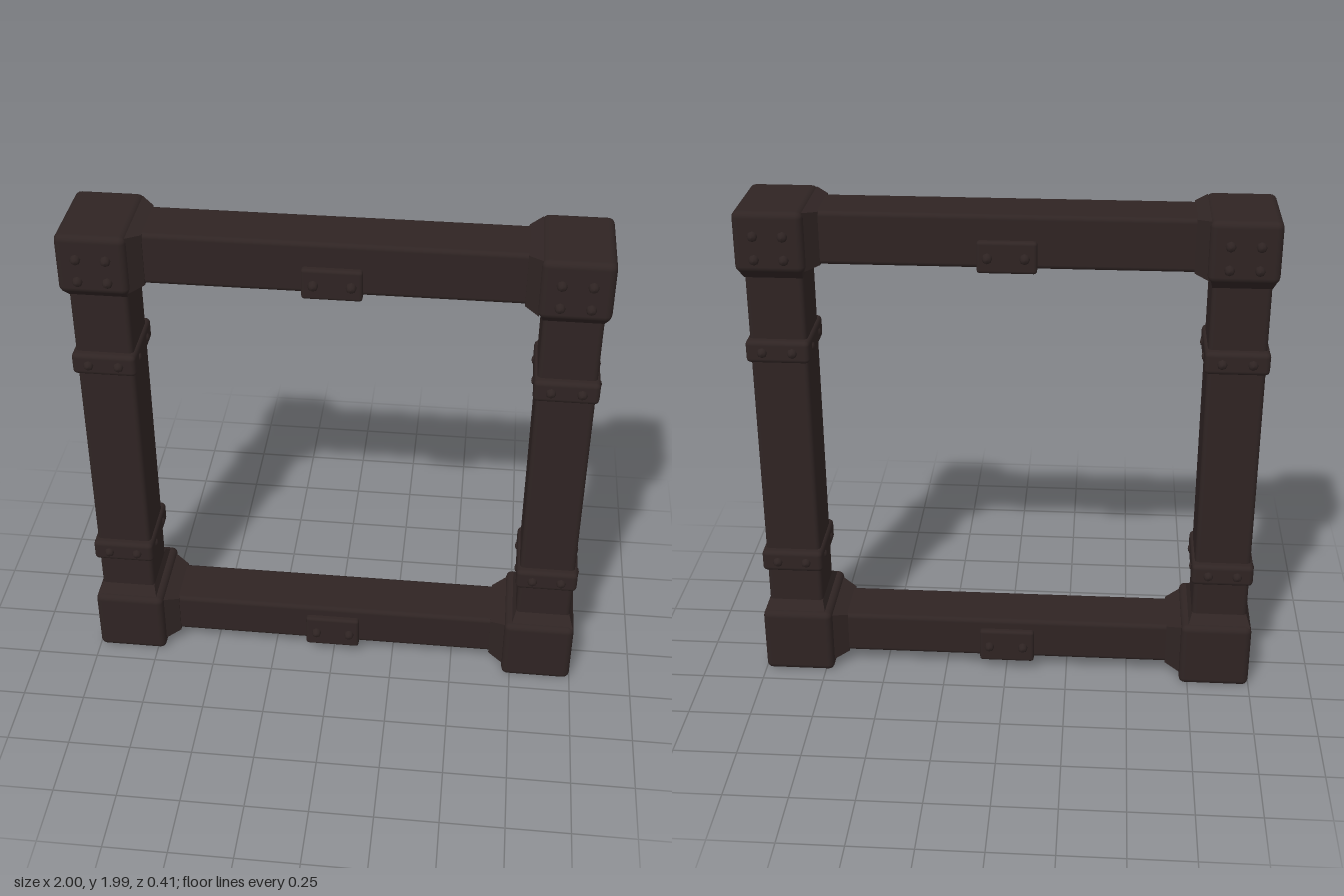
import * as THREE from 'three';
import { RoundedBoxGeometry } from 'three/addons/geometries/RoundedBoxGeometry.js';

export function createModel() {
  const model = new THREE.Group();
  model.name = 'squareFrame';
  const wood = new THREE.MeshStandardMaterial({ color: 0x2f2423 });
  wood.name = 'darkWood';

  function add(name, geometry, x, y, z) {
    const mesh = new THREE.Mesh(geometry, wood);
    mesh.name = name;
    mesh.position.set(x, y, z);
    model.add(mesh);
    return mesh;
  }

  // Rounded box given by its limits on each axis
  function box(name, x0, x1, y0, y1, z0, z1, r) {
    return add(name, new RoundedBoxGeometry(x1 - x0, y1 - y0, z1 - z0, 2, r),
      (x0 + x1) / 2, (y0 + y1) / 2, (z0 + z1) / 2);
  }

  // Domed stud pointing along a direction
  const studGeometry = new THREE.LatheGeometry([
    [0.019, -0.012], [0.019, 0.008], [0.013, 0.017], [0, 0.02],
  ].map(([r, h]) => new THREE.Vector2(r, h)), 8);
  const up = new THREE.Vector3(0, 1, 0);
  function stud(x, y, z, dx, dz) {
    add('stud', studGeometry, x, y, z)
      .quaternion.setFromUnitVectors(up, new THREE.Vector3(dx, 0, dz));
  }

  // Four-sided flare: a box whose far end is narrowed to the timber
  function flare(name, wide, narrow, height, x, y, z, dir) {
    const g = new THREE.BoxGeometry(1, height, 1).toNonIndexed();
    const p = g.attributes.position;
    for (let i = 0; i < p.count; i++) {
      const s = p.getY(i) > 0 ? narrow : wide;
      p.setXYZ(i, p.getX(i) * s[0], p.getY(i), p.getZ(i) * s[1]);
    }
    g.computeVertexNormals();
    add(name, g, x, y, z).quaternion.setFromUnitVectors(up, dir);
  }

  // Horizontal timbers
  box('topBeam', -0.9, 0.9, 1.77, 1.975, -0.115, 0.11, 0.018);
  box('bottomBeam', -0.9, 0.9, 0.065, 0.24, -0.115, 0.11, 0.018);

  // Plates wrapped round the middle of each beam
  for (const [y0, y1] of [[1.757, 1.88], [0.055, 0.198]]) {
    box('middlePlate', -0.115, 0.108, y0, y1, -0.137, 0.134, 0.012);
    for (const x of [-0.07, 0.068]) {
      stud(x, (y0 + y1) / 2, 0.138, 0, 1);
      stud(x, (y0 + y1) / 2, -0.141, 0, -1);
    }
  }

  for (const s of [-1, 1]) {
    const span = (name, a, b, ...rest) =>
      box(name, Math.min(s * a, s * b), Math.max(s * a, s * b), ...rest);

    // Upright post
    span('post', 0.757, 0.978, 0.1, 1.9, -0.118, 0.12, 0.018);

    // Corner blocks
    span('topCorner', 0.735, 0.997, 1.755, 1.99, -0.186, 0.182, 0.025);
    span('bottomCorner', 0.715, 0.998, 0.004, 0.28, -0.182, 0.182, 0.025);

    // Flares between blocks and timbers
    const inward = new THREE.Vector3(-s, 0, 0);
    flare('postFlare', [0.24, 0.34], [0.22, 0.24], 0.045,
      s * 0.867, 1.74, 0, new THREE.Vector3(0, -1, 0));
    flare('postFlare', [0.25, 0.33], [0.22, 0.24], 0.035,
      s * 0.867, 0.292, 0, up);
    flare('beamFlare', [0.225, 0.33], [0.205, 0.23], 0.05, s * 0.715, 1.872, 0, inward);
    flare('beamFlare', [0.22, 0.31], [0.175, 0.23], 0.065, s * 0.69, 0.151, 0, inward);

    // Studs on the top blocks
    for (const x of [0.92, 0.81]) for (const y of [1.81, 1.9]) {
      stud(s * x, y, 0.183, 0, 1);
      stud(s * x, y, -0.187, 0, -1);
    }

    // Bands round the posts, each with studs
    for (const y of [1.425, 0.505]) {
      span('band', 0.745, 0.99, y - 0.045, y + 0.045, -0.15, 0.15, 0.018);
      for (const x of [0.81, 0.925]) {
        stud(s * x, y, 0.148, 0, 1);
        stud(s * x, y, -0.148, 0, -1);
      }
      for (const z of [-0.07, 0.07]) {
        stud(s * 0.978, y, z, s, 0);
        stud(s * 0.757, y, z, -s, 0);
      }
    }
  }
  return model;
}
